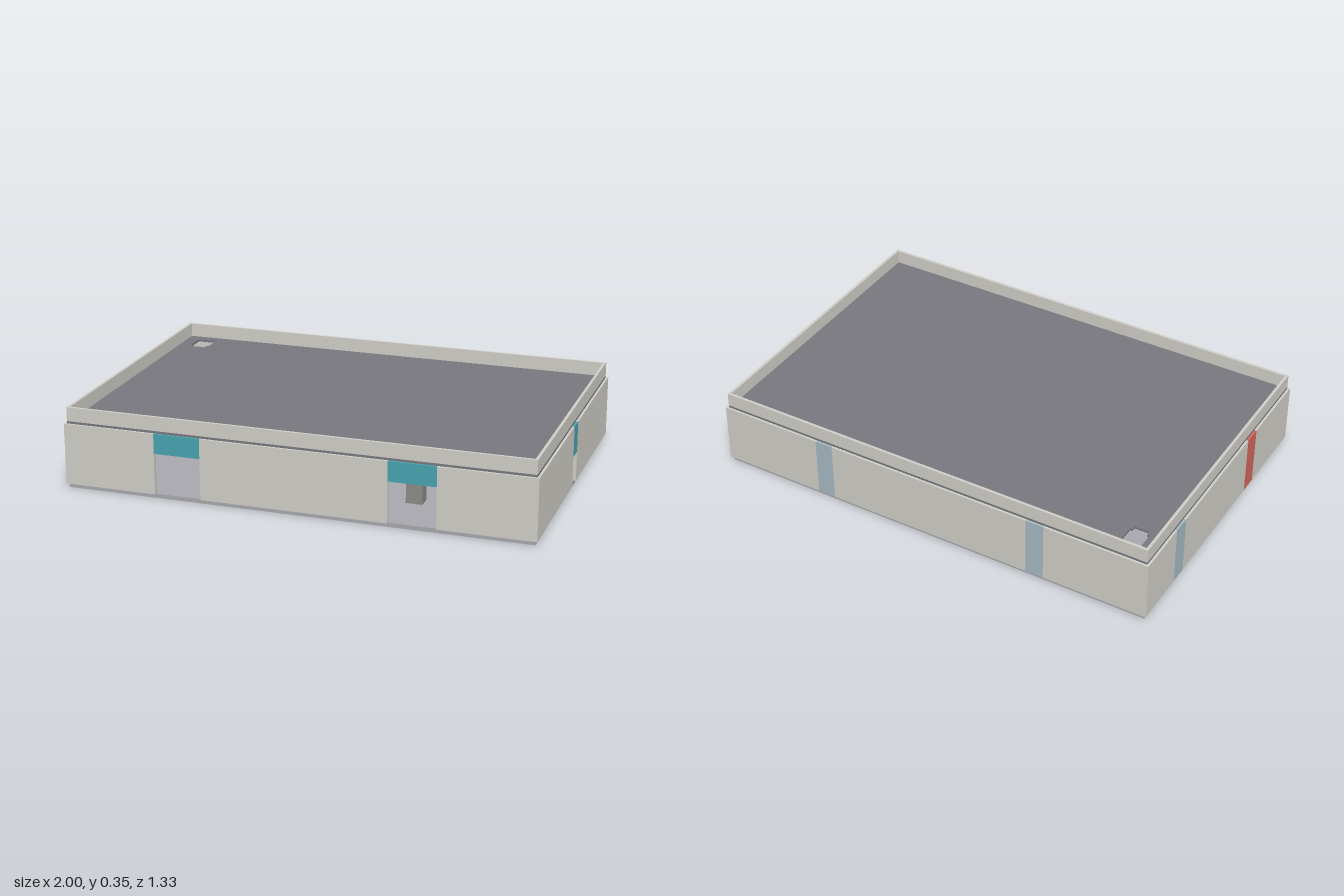
import * as THREE from 'three';

const mat = (color) => new THREE.MeshStandardMaterial({ color });

export function createModel() {
  const model = new THREE.Group();
  const wallMat = mat(0xd0cec8), slabMat = mat(0xa8a8ae), roofMat = mat(0x79787f);
  const tealMat = mat(0x48a4b0), glassMat = mat(0xa6b9c0), redMat = mat(0xd0675c);
  const darkMat = mat(0x8a8c84);
  const X = 1, Z = 0.665, T = 0.018, FLOOR = 0.018, CEIL = 0.28;

  // Box given by its lower and upper corners
  function box(name, material, a, b, parent = model) {
    const m = new THREE.Mesh(new THREE.BoxGeometry(b[0] - a[0], b[1] - a[1], b[2] - a[2]), material);
    m.position.set((a[0] + b[0]) / 2, (a[1] + b[1]) / 2, (a[2] + b[2]) / 2);
    m.name = name;
    parent.add(m);
  }

  // Wall along x or z; each insert fills a gap from its bottom height up to the ceiling
  function wall(name, alongX, near, from, to, inserts) {
    const g = new THREE.Group();
    g.name = name;
    model.add(g);
    const piece = (label, material, s, e, y) => alongX
      ? box(label, material, [s, y, near], [e, CEIL, near + T], g)
      : box(label, material, [near, y, s], [near + T, CEIL, e], g);
    let start = from;
    for (const { c, w, y, material, label } of inserts) {
      piece('wallSection', wallMat, start, c - w / 2, FLOOR);
      piece(label, material, c - w / 2, c + w / 2, y);
      start = c + w / 2;
    }
    piece('wallSection', wallMat, start, to, FLOOR);
  }
  const lintel = (c, w, y) => ({ c, w, y, material: tealMat, label: 'doorLintel' });
  const panel = (c, material, label) => ({ c, w: 0.08, y: FLOOR, material, label });

  // Floor slab, slightly inset
  box('floorSlab', slabMat, [-0.99, 0, -0.655], [0.99, FLOOR, 0.655]);

  // Outer walls
  wall('frontWall', true, Z - T, -X, X, [lintel(-0.5, 0.2, 0.195), lintel(0.495, 0.2, 0.195)]);
  wall('backWall', true, -Z, -X, X,
    [panel(-0.5, glassMat, 'windowPanel'), panel(0.5, glassMat, 'windowPanel')]);
  wall('leftWall', false, X - T, -Z + T, Z - T, [lintel(0, 0.07, 0.148)]);
  wall('rightWall', false, -X, -Z + T, Z - T,
    [panel(-0.38, glassMat, 'windowPanel'), panel(0.28, redMat, 'redPanel')]);

  // Inner partition with two low doorways
  wall('partition', true, 0.05, -X + T, X - T, [lintel(-0.605, 0.07, 0.148), lintel(0.5, 0.07, 0.148)]);

  // Dark cabinets inside the entrances
  for (const x of [-0.445, 0.435])
    box('cabinet', darkMat, [x - 0.035, FLOOR, 0.37], [x + 0.035, 0.185, 0.43]);
  box('lowCabinet', darkMat, [0.74, FLOOR, -0.06], [0.82, 0.12, 0.04]);

  // Roof slab with a notched hatch opening (shape y is -z)
  const roof = new THREE.Shape([
    [-0.99, -0.655], [0.99, -0.655], [0.99, 0.655], [-0.99, 0.655],
  ].map(([x, y]) => new THREE.Vector2(x, y)));
  roof.holes.push(new THREE.Path([
    [-0.925, 0.6], [-0.84, 0.6], [-0.84, 0.51], [-0.85, 0.51],
    [-0.85, 0.49], [-0.915, 0.49], [-0.915, 0.51], [-0.925, 0.51],
  ].map(([x, y]) => new THREE.Vector2(x, y))));
  const roofMesh = new THREE.Mesh(
    new THREE.ExtrudeGeometry(roof, { depth: 0.01, bevelEnabled: false }), roofMat);
  roofMesh.rotation.x = -Math.PI / 2;
  roofMesh.position.y = CEIL;
  roofMesh.name = 'roof';
  model.add(roofMesh);

  // Small block on the floor below the hatch
  box('hatchStep', slabMat, [-0.895, FLOOR, -0.555], [-0.87, 0.03, -0.545]);

  // Parapet around the roof
  const P = 0.012, y0 = 0.29, y1 = 0.35;
  for (const s of [-1, 1]) {
    const zc = s * (0.655 - P / 2), xc = s * (0.99 - P / 2);
    box('parapet', wallMat, [-0.99, y0, zc - P / 2], [0.99, y1, zc + P / 2]);
    box('parapet', wallMat, [xc - P / 2, y0, -0.655 + P], [xc + P / 2, y1, 0.655 - P]);
  }
  return model;
}
